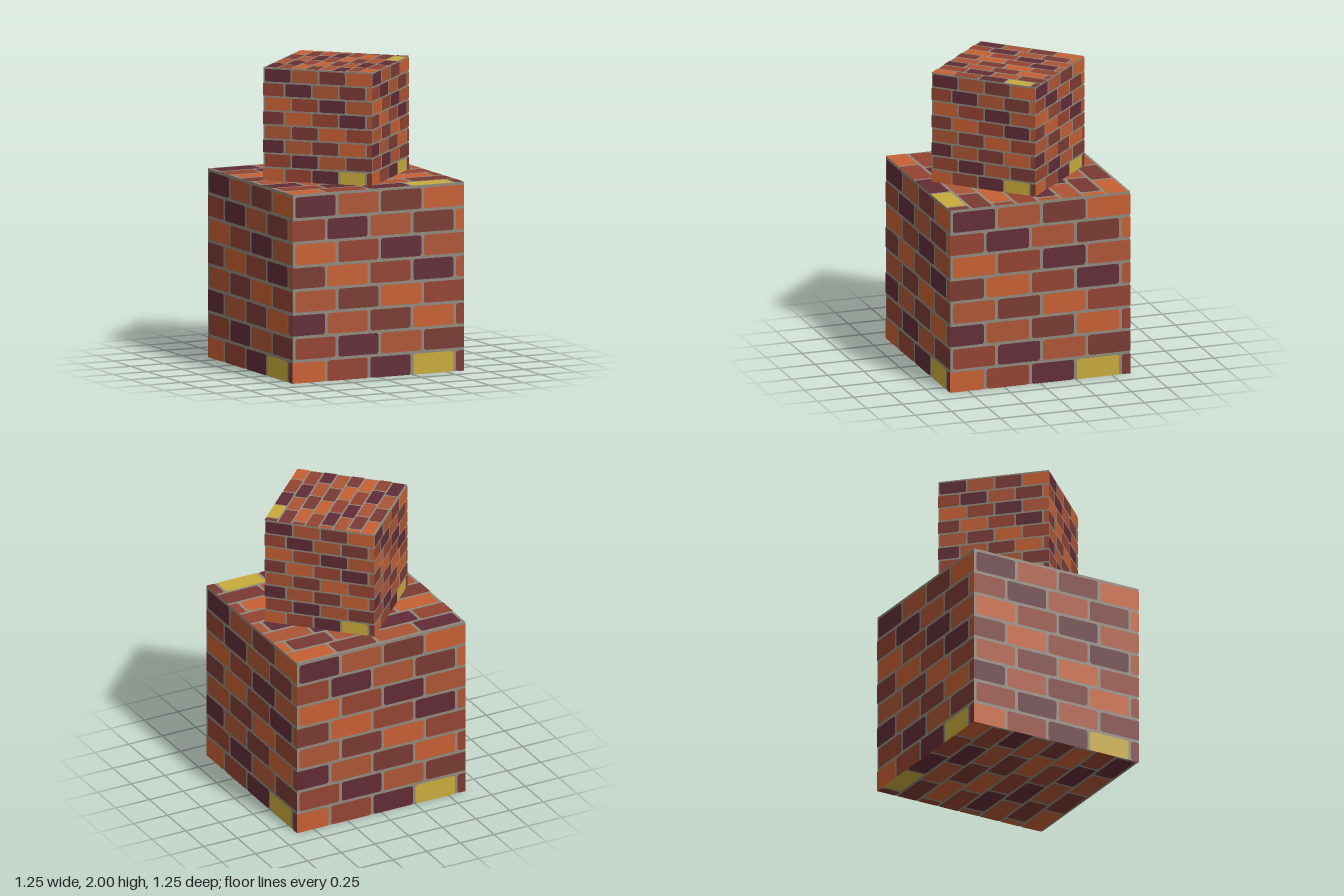
import * as THREE from 'three';
import { mergeGeometries } from 'three/addons/utils/BufferGeometryUtils.js';

const material = (name, color) => {
  const m = new THREE.MeshStandardMaterial({ color });
  m.name = name;
  return m;
};

// Each face is laid out on a 64 x 64 grid: 8 courses of 8, bricks 16 long, joints 1 wide.
const GRID = 64, COURSE = 8, BRICK = 16, JOINT = 1;
const SKIN = 0.0015; // how far brick faces stand proud of the mortar
const CYCLE = ['darkBrick', 'clayBrick', 'brownBrick', 'orangeBrick', 'redBrick'];

// Flat brick face with nipped corners, except where it is cut by the edge of the block
function brickFace(x0, x1, y0, y1, size) {
  const s = size / GRID, c = 0.6;
  const l = x0 <= 0 ? 0 : c, r = x1 >= GRID ? 0 : c;
  const points = [
    [x0 + l, y0], [x1 - r, y0], [x1, y0 + r], [x1, y1 - r],
    [x1 - r, y1], [x0 + l, y1], [x0, y1 - l], [x0, y0 + l],
  ].filter((p, i, all) => {
    const q = all[(i + 1) % all.length];
    return p[0] !== q[0] || p[1] !== q[1];
  });
  const shape = new THREE.Shape(
    points.map(([x, y]) => new THREE.Vector2((x - GRID / 2) * s, (y - GRID / 2) * s)));
  return new THREE.ShapeGeometry(shape).translate(0, 0, size / 2);
}

// Brick faces of one wall, sorted by colour
function wallBricks(size) {
  const byColour = {};
  for (let row = 0; row < GRID / COURSE; row++) {
    const staggered = row % 2 === 0;
    const shift = staggered ? -4 : 0;
    for (let i = 0; i < (staggered ? 5 : 4); i++) {
      const x0 = Math.max(0, i * BRICK + shift + JOINT);
      const x1 = Math.min(GRID, (i + 1) * BRICK + shift);
      const accent = row === 0 && i === 3;
      const colour = accent ? 'yellowBrick' : CYCLE[(row + 3 + i) % 5];
      const y0 = row * COURSE;
      (byColour[colour] ??= []).push(brickFace(x0, x1, y0, y0 + COURSE - JOINT, size));
    }
  }
  return byColour;
}

// Cube with a mortar core and the same brickwork on all six sides
function brickBlock(name, size, materials) {
  const block = new THREE.Group();
  block.name = name;
  const inner = size - 2 * SKIN;
  const core = new THREE.Mesh(new THREE.BoxGeometry(inner, inner, inner), materials.mortar);
  core.name = 'mortarCore';
  block.add(core);

  const turns = [0, 1, 2, 3].map(k => new THREE.Matrix4().makeRotationY(k * Math.PI / 2));
  turns.push(new THREE.Matrix4().makeRotationX(-Math.PI / 2));
  turns.push(new THREE.Matrix4().makeRotationX(Math.PI / 2));

  for (const [colour, faces] of Object.entries(wallBricks(size))) {
    const wall = mergeGeometries(faces);
    const sides = turns.map(t => wall.clone().applyMatrix4(t));
    const mesh = new THREE.Mesh(mergeGeometries(sides), materials[colour]);
    mesh.name = colour + 's';
    block.add(mesh);
  }
  return block;
}

export function createModel() {
  const materials = {
    mortar: material('mortar', 0x8f887c),
    darkBrick: material('darkBrick', 0x612c36),
    clayBrick: material('clayBrick', 0xad5535),
    brownBrick: material('brownBrick', 0x7a3a33),
    orangeBrick: material('orangeBrick', 0xc65f33),
    redBrick: material('redBrick', 0x944331),
    yellowBrick: material('yellowBrick', 0xc9aa3b),
  };
  const model = new THREE.Group();
  model.name = 'stackedBrickBlocks';

  // Large lower block
  const lower = brickBlock('lowerBlock', 1.25, materials);
  lower.position.y = 0.625;

  // Small upper block, turned by an eighth
  const upper = brickBlock('upperBlock', 0.75, materials);
  upper.position.y = 1.625;
  upper.rotation.y = Math.PI / 4;

  model.add(lower, upper);
  return model;
}
